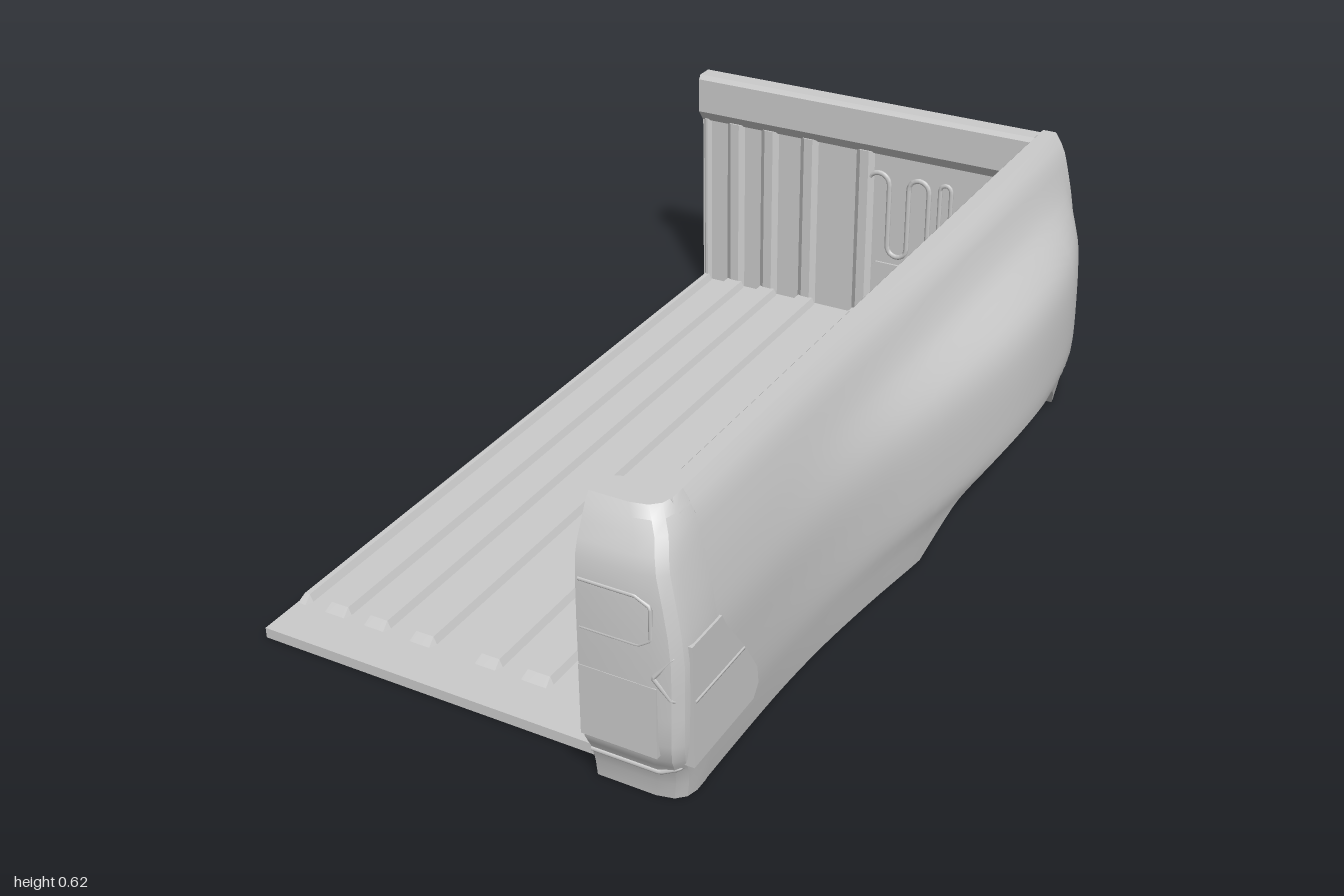
import * as THREE from 'three';
import { toCreasedNormals } from 'three/addons/utils/BufferGeometryUtils.js';

const mat = new THREE.MeshStandardMaterial({ color: 0xcccccc, side: THREE.DoubleSide });

// Smooth interpolation through [key, value] pairs with rising keys
function curve(t, k) {
  const n = t.length - 1;
  if (k <= t[0][0]) return t[0][1];
  if (k >= t[n][0]) return t[n][1];
  let i = 0;
  while (k > t[i + 1][0]) i++;
  const slope = (a, b) => (t[b][1] - t[a][1]) / (t[b][0] - t[a][0]);
  const m0 = slope(Math.max(i - 1, 0), i + 1), m1 = slope(i, Math.min(i + 2, n));
  const h = t[i + 1][0] - t[i][0], u = (k - t[i][0]) / h, u2 = u * u, u3 = u2 * u;
  return (2 * u3 - 3 * u2 + 1) * t[i][1] + (u3 - 2 * u2 + u) * h * m0
    + (3 * u2 - 2 * u3) * t[i + 1][1] + (u3 - u2) * h * m1;
}

// Skin over closed rings of [x, y, z]; caps are flattened on the two given axes
function loft(rings, axes, crease = 0.5) {
  const pos = [], idx = [], n = rings[0].length;
  rings.forEach(r => r.forEach(p => pos.push(...p)));
  for (let i = 0; i < rings.length - 1; i++) {
    for (let j = 0; j < n; j++) {
      const a = i * n + j, b = i * n + (j + 1) % n;
      idx.push(a, b, b + n, a, b + n, a + n);
    }
  }
  const flat = r => r.map(p => new THREE.Vector2(p[axes[0]], p[axes[1]]));
  [0, rings.length - 1].forEach(k => {
    const area = THREE.ShapeUtils.area(flat(rings[k]));
    THREE.ShapeUtils.triangulateShape(flat(rings[k]), []).forEach(([a, b, c]) => {
      const o = k * n;
      // Caps run against the skin at the start and with it at the end
      if (k === 0 || area === 0) idx.push(o + c, o + b, o + a);
      else idx.push(o + a, o + b, o + c);
    });
  });
  const g = new THREE.BufferGeometry();
  g.setAttribute('position', new THREE.Float32BufferAttribute(pos, 3));
  g.setIndex(idx);
  return toCreasedNormals(g, crease);
}

// Outer side: plain profile, extra bulge over the wheel, plan swell and wheel arch
const plain = [[0, 0.435], [0.06, 0.445], [0.14, 0.456], [0.25, 0.46], [0.36, 0.46], [0.46, 0.445], [0.54, 0.427], [0.59, 0.412], [0.625, 0.39]];
const bulge = [[0, 0.53], [0.1, 0.552], [0.14, 0.568], [0.22, 0.57], [0.34, 0.56], [0.4, 0.54], [0.45, 0.5], [0.49, 0.463], [0.54, 0.437], [0.59, 0.417], [0.625, 0.39]];
const swell = [[-1, 0], [-0.95, 0.3], [-0.8, 0.73], [-0.6, 0.95], [-0.4, 1], [-0.2, 0.87], [0, 0.63], [0.2, 0.33], [0.4, 0.1], [0.6, 0], [1, 0]];
const arch = [[-0.8, 0], [-0.75, 0.05], [-0.68, 0.1], [-0.55, 0.131], [-0.4, 0.14], [-0.25, 0.131], [-0.12, 0.1], [-0.06, 0.055], [0, 0]];
const outerX = (y, z) => THREE.MathUtils.lerp(curve(plain, y), curve(bulge, y), curve(swell, z));

function sidePanel() {
  const rings = [];
  for (let i = 0; i <= 76; i++) {
    const z = -1 + i * 0.025, yb = Math.max(0, curve(arch, z)), ring = [];
    ring.push([0.42, 0, z], [0.42, yb + 0.0005, z]);
    for (let j = 0; j <= 26; j++) {
      const y = yb + (0.625 - yb) * j / 26;
      ring.push([outerX(y, z), y, z]);
    }
    // top rail, overhang, inner wall and fillet to the floor
    [[0.357, 0.625], [0.35, 0.617], [0.35, 0.52], [0.378, 0.495], [0.378, 0.12], [0.372, 0.07], [0.358, 0.038], [0.34, 0.024], [0.34, 0]]
      .forEach(([x, y]) => ring.push([x, y, z]));
    rings.push(ring);
  }
  return loft(rings, [0, 1]);
}

// Rear corner post, stacked plan outlines
function cornerPost() {
  const back = [[0, 0.945], [0.05, 0.953], [0.08, 0.963], [0.12, 0.985], [0.16, 0.993], [0.52, 0.993], [0.58, 0.968], [0.61, 0.953], [0.625, 0.942]];
  const ys = [0, 0.04, 0.08, 0.1, 0.12, 0.16, 0.22, 0.28, 0.34, 0.4, 0.46, 0.52, 0.55, 0.58, 0.605, 0.625];
  return loft(ys.map(y => {
    const zr = curve(back, y), ox = curve(plain, y) + 0.0005;
    return [[0.25, zr], [ox - 0.06, zr], [ox - 0.025, zr - 0.008], [ox - 0.007, zr - 0.025], [ox, zr - 0.05],
      [ox, 0.86], [0.36, 0.79], [0.352, 0.825], [0.33, 0.855], [0.25, 0.885]].map(([x, z]) => [x, y, z]);
  }), [0, 2], 0.45);
}

// Inner wheel housing, rounded arches growing towards the side wall
function wheelHousing() {
  const steps = [[0.09, 0.13, 0.32], [0.093, 0.16, 0.35], [0.102, 0.19, 0.38], [0.12, 0.217, 0.41], [0.145, 0.238, 0.432],
    [0.18, 0.255, 0.445], [0.22, 0.264, 0.45], [0.3, 0.272, 0.45], [0.335, 0.285, 0.452], [0.38, 0.315, 0.46]];
  return loft(steps.map(([x, h, l]) => {
    const ring = [];
    for (let i = 0; i <= 32; i++) {
      const a = Math.PI * i / 32, c = Math.cos(a);
      ring.push([x, 0.02 + (h - 0.02) * Math.pow(Math.max(0, Math.sin(a)), 0.6), -0.45 + l * Math.sign(c) * Math.pow(Math.abs(c), 0.65)]);
    }
    return ring;
  }), [2, 1], 0.6);
}

// Raised floor rib with sloping sides and ends
function floorRib(x0, x1, z0, z1, xr = x1) {
  const s = 0.009, y0 = 0.02, y1 = 0.041;
  const row = (z, r, y, i) => [[x0, y0, z], [x0 + i, y, z], [r - i, y, z], [r, y0, z]];
  return loft([row(z1, x1, 0.021, s), row(z1 - 0.02, x1, y1, s), row(-0.55 < z1 && z0 < -0.9 ? -0.55 : z0 + 0.04, x1, y1, s),
    row(z0 < -0.9 ? -0.7 : z0 + 0.02, xr, y1, s), row(z0, xr, z0 < -0.9 ? y1 : 0.021, s)], [0, 1], 0.2);
}

const extrude = (pts, depth) => new THREE.ExtrudeGeometry(new THREE.Shape(pts.map(p => new THREE.Vector2(...p))), { depth, bevelEnabled: false });

// Thin bead along straight points
function bead(pts, r = 0.005) {
  const path = new THREE.CurvePath(), v = pts.map(p => new THREE.Vector3(...p));
  for (let i = 1; i < v.length; i++) path.add(new THREE.LineCurve3(v[i - 1], v[i]));
  return new THREE.TubeGeometry(path, pts.length * 8, r, 6);
}

// Half circle points used for the looped beads
const bend = (cx, cy, r, up) => Array.from({ length: 9 }, (_, i) => {
  const a = Math.PI * (1 - i / 8);
  return [cx + r * Math.cos(a), cy + up * r * Math.sin(a)];
});

export function createModel() {
  const g = new THREE.Group();
  const add = (name, geo) => {
    const m = new THREE.Mesh(geo, mat);
    m.name = name;
    g.add(m);
    return m;
  };
  const box = (name, x0, x1, y0, y1, z0, z1) =>
    add(name, new THREE.BoxGeometry(x1 - x0, y1 - y0, z1 - z0)).position.set((x0 + x1) / 2, (y0 + y1) / 2, (z0 + z1) / 2);

  // Floor and ribs
  box('floor', -0.575, 0.419, 0, 0.024, -0.999, 0.9);
  const ribs = [[-0.575, -0.545], [-0.505, -0.445], [-0.405, -0.345], [-0.29, -0.23], [-0.13, -0.07]];
  ribs.forEach(([a, b]) => add('floorRib', floorRib(a, b, -0.965, 0.8)));
  add('bentFloorRib', floorRib(-0.02, 0.05, -0.965, 0.8, 0.018));
  add('shortFloorRib', floorRib(0.11, 0.15, 0.02, 0.77));
  add('shortFloorRib', floorRib(0.19, 0.25, 0.22, 0.5));

  // Bulkhead with overhanging rail and upright ribs
  box('bulkhead', -0.575, 0.385, 0, 0.6, -1, -0.972);
  const rail = add('bulkheadRail', extrude([[1, 0.49], [1, 0.618], [0.958, 0.618], [0.95, 0.607], [0.95, 0.518], [0.97, 0.49]], 0.955));
  rail.rotation.y = Math.PI / 2;
  rail.position.x = -0.575;
  ribs.forEach(([a, b]) => {
    const rib = add('bulkheadRib', extrude([[a, 0.975], [a + 0.018, 0.962], [b - 0.018, 0.962], [b, 0.975]], 0.475));
    rib.rotation.x = -Math.PI / 2;
    rib.position.y = 0.02;
    rib.scale.set(1, 1, 1);
  });
  const wallLine = pts => pts.map(([x, y]) => [x, y, -0.971]);
  add('bulkheadBead', bead(wallLine([[-0.09, 0.03], ...bend(-0.06, 0.41, 0.03, 1), ...bend(-0.003, 0.24, 0.027, -1),
    ...bend(0.052, 0.41, 0.028, 1), [0.08, 0.03]]), 0.007));
  add('bulkheadBead', bead(wallLine([[0.11, 0.03], ...bend(0.125, 0.425, 0.015, 1), [0.14, 0.2]]), 0.006));
  add('bulkheadPlate', extrude([[-0.06, 0.065], [0.05, 0.065], [0.06, 0.075], [0.06, 0.1], [0.042, 0.115], [0.042, 0.14], [0.06, 0.155], [0.06, 0.18],
    [0.05, 0.19], [-0.06, 0.19], [-0.07, 0.18], [-0.07, 0.155], [-0.052, 0.14], [-0.052, 0.115], [-0.07, 0.1], [-0.07, 0.075]], 0.006)).position.z = -0.973;

  // Side wall with wheel arch, and looped beads on its inner face
  add('sidePanel', sidePanel());
  for (let i = 0; i < 6; i++) {
    const z = 0.51 - i * 0.25, low = i === 2 || i === 3 || i === 4 || i === 5 ? 0.26 : 0.19;
    const pts = [[z - 0.055, 0.5], ...bend(z, low + 0.055, 0.055, -1), [z + 0.055, 0.5]];
    add('innerWallBead', bead(pts.map(([a, y]) => [0.378, y, a]), 0.007));
  }

  // Inner wheel housing with raised bands
  add('wheelHousing', wheelHousing());
  [[-0.64, -0.555], [-0.49, -0.4], [-0.34, -0.25]].forEach(([a, b]) => {
    const band = add('housingBand', extrude([[0.092, 0.1], [0.086, 0.15], [0.098, 0.2], [0.12, 0.226], [0.145, 0.246], [0.18, 0.262], [0.22, 0.271], [0.34, 0.28], [0.34, 0.1]], b - a));
    band.position.z = a;
  });

  // Corner post and lamp
  add('cornerPost', cornerPost());
  const lens = add('lampSide', extrude([[-0.96, 0.375], [-0.85, 0.375], [-0.83, 0.34], [-0.76, 0.25], [-0.71, 0.17], [-0.705, 0.13], [-0.725, 0.105], [-0.955, 0.105]], 0.05));
  lens.rotation.y = Math.PI / 2;
  lens.position.x = 0.413;
  box('lampRear', 0.25, 0.41, 0.135, 0.29, 0.96, 0.997);
  const rear = pts => pts.map(([x, y]) => [x, y, 0.994]);
  add('lampBead', bead(rear([[0.255, 0.475], [0.37, 0.475], [0.4, 0.46], [0.4, 0.39], [0.375, 0.373], [0.255, 0.373]]), 0.004));
  add('lampNotch', bead([[0.455, 0.37, 0.95], [0.435, 0.355, 0.984], [0.403, 0.312, 0.994], [0.435, 0.265, 0.984], [0.455, 0.25, 0.95]], 0.005));
  add('lampLowerSeam', bead([[0.25, 0.075, 0.962], [0.395, 0.075, 0.962], [0.43, 0.09, 0.955], [0.452, 0.108, 0.92]], 0.005));
  add('lampSideSeam', bead([[0.462, 0.25, 0.95], [0.462, 0.25, 0.765]], 0.004));
  return g;
}
